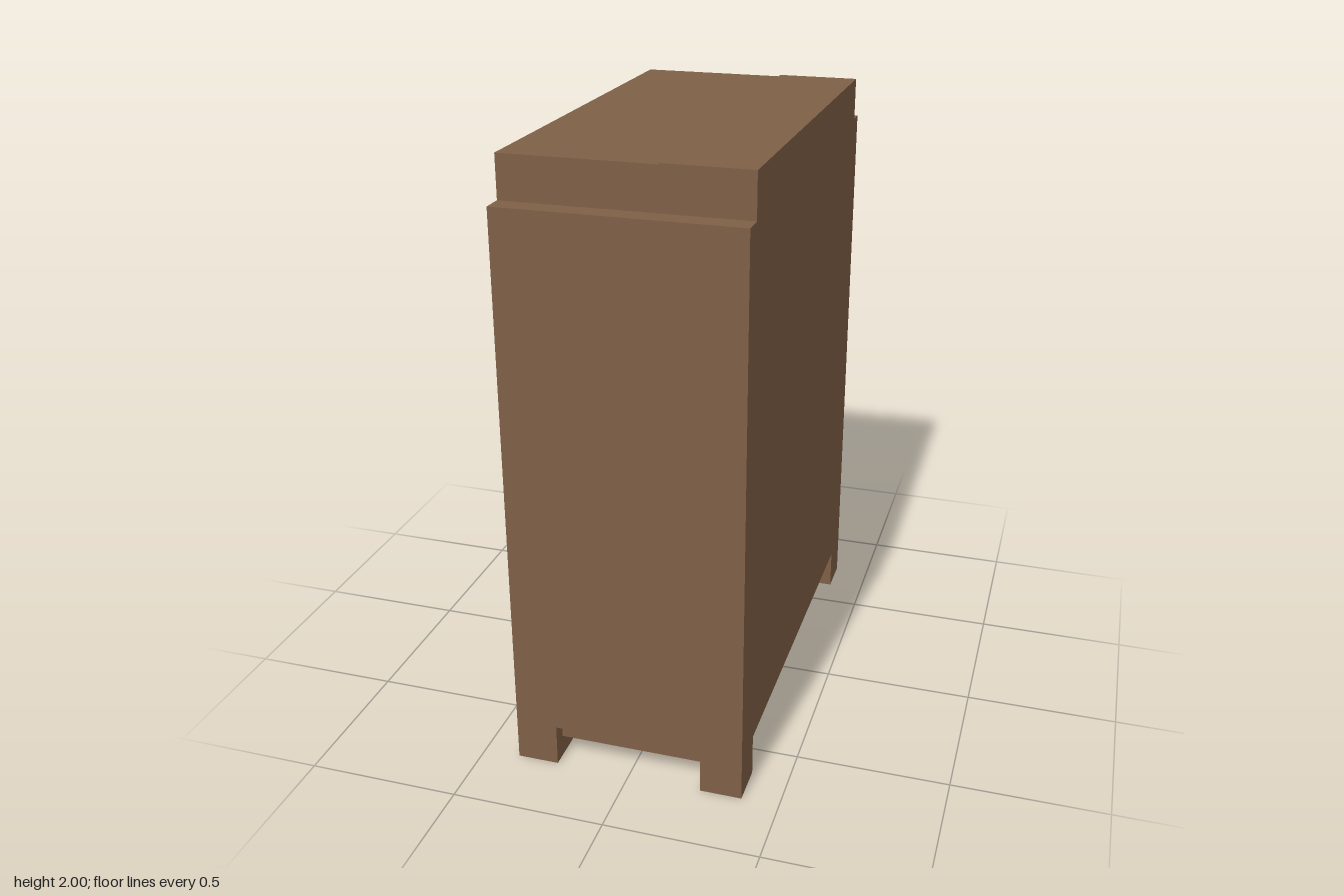
import * as THREE from 'three';

export function createModel() {
  const cabinet = new THREE.Group();
  cabinet.name = 'cabinet';

  const wood = new THREE.MeshStandardMaterial({ color: 0x7f6046 });
  wood.name = 'brown wood';
  const metal = new THREE.MeshStandardMaterial({ color: 0xa6a8aa });
  metal.name = 'grey metal';

  // box given by its limits along each axis
  function box(name, [x0, x1], [y0, y1], [z0, z1], material = wood) {
    const mesh = new THREE.Mesh(new THREE.BoxGeometry(x1 - x0, y1 - y0, z1 - z0), material);
    mesh.position.set((x0 + x1) / 2, (y0 + y1) / 2, (z0 + z1) / 2);
    mesh.name = name;
    cabinet.add(mesh);
    return mesh;
  }

  const X0 = -0.38, X1 = 0.378, Z = 0.757; // outer limits
  const panelX = -0.335;                   // face of the recessed doors
  const base = 0.14, shoulder = 1.86, leg = 0.136;

  // main body; its -x face is the door panels
  box('body', [panelX, X1], [base, shoulder], [-Z, Z]);

  // top in two sections, set in from both ends
  box('topFront', [X0, 0.105], [shoulder, 1.996], [-0.69, 0.687]);
  box('topBack', [0.105, X1], [shoulder, 2], [-0.697, 0.687]);

  // door frame with two openings, each stepped at its outer top corner
  const frame = new THREE.Shape();
  frame.moveTo(-Z, base).lineTo(Z, base).lineTo(Z, shoulder).lineTo(-Z, shoulder).closePath();
  for (const [inner, outer, step] of [[-0.02, -0.63, -0.47], [0.042, 0.622, 0.465]]) {
    const hole = new THREE.Path();
    hole.moveTo(inner, 0.197).lineTo(outer, 0.197).lineTo(outer, 1.68)
      .lineTo(step, 1.68).lineTo(step, 1.785).lineTo(inner, 1.785).closePath();
    frame.holes.push(hole);
  }
  const doorFrame = new THREE.Mesh(
    new THREE.ExtrudeGeometry(frame, { depth: panelX - X0, bevelEnabled: false }), wood);
  doorFrame.rotation.y = -Math.PI / 2;
  doorFrame.position.x = panelX;
  doorFrame.name = 'doorFrame';
  cabinet.add(doorFrame);

  // upright door handles
  for (const [name, z] of [['rightDoorHandle', -0.103], ['leftDoorHandle', 0.115]]) {
    box(name, [-0.377, panelX], [0.673, 1.293], [z - 0.018, z + 0.018], metal);
  }

  // corner legs
  for (const xs of [[X0, X0 + leg], [X1 - leg, X1]]) {
    for (const zs of [[-Z, -Z + leg], [Z - leg, Z]]) box('leg', xs, [0, base], zs);
  }

  // stretcher rails between the legs, set back from the outer faces
  const near = 0.05, far = 0.088, railY = [0.072, base];
  for (const xs of [[X0 + near, X0 + far], [X1 - far, X1 - near]]) {
    box('longRail', xs, railY, [-Z + leg, Z - leg]);
  }
  for (const zs of [[-Z + near, -Z + far], [Z - far, Z - near]]) {
    box('shortRail', [X0 + leg, X1 - leg], railY, zs);
  }

  return cabinet;
}
